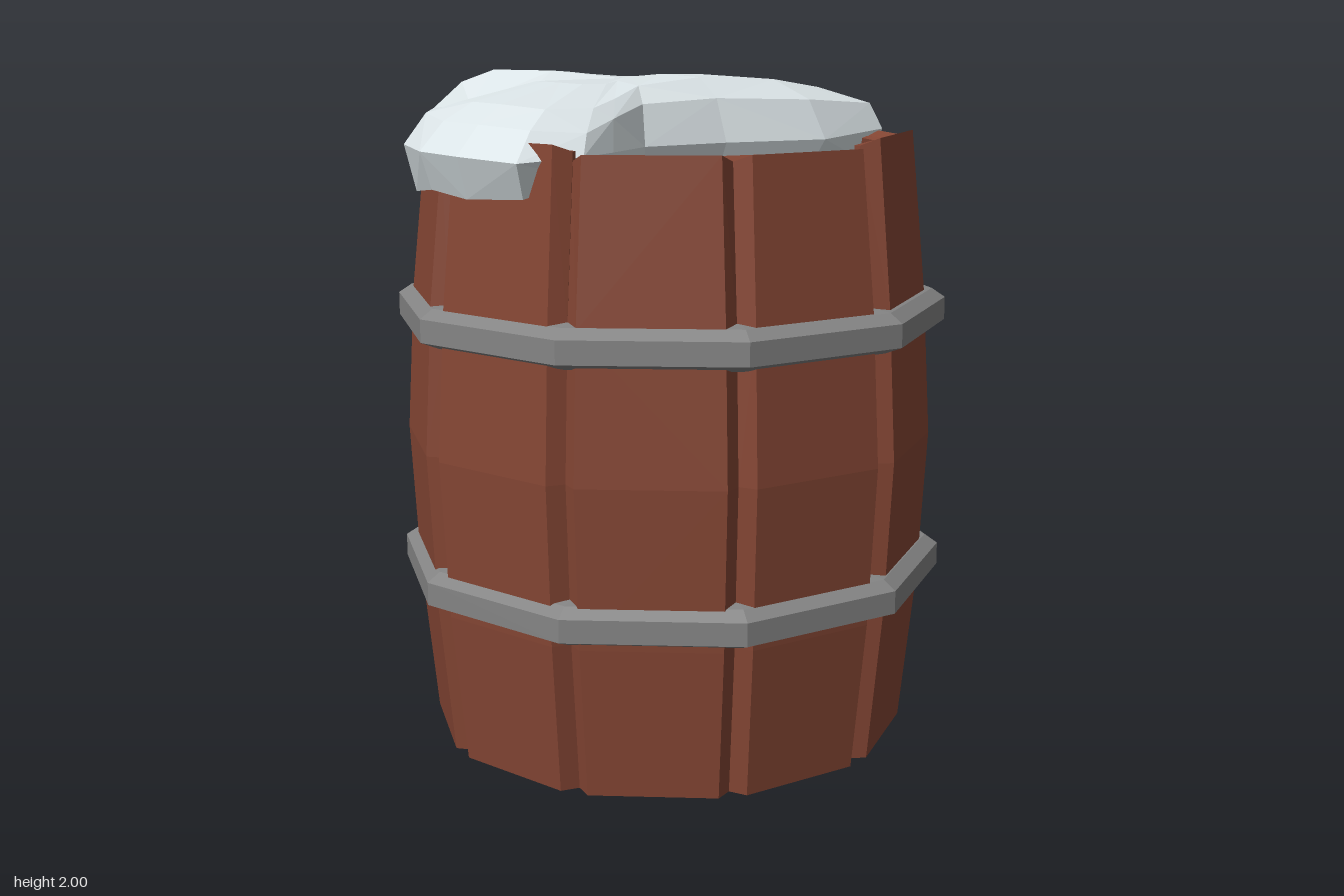
import * as THREE from 'three';

const wood = new THREE.MeshStandardMaterial({ color: 0x854634 });
const iron = new THREE.MeshStandardMaterial({ color: 0x848484 });
const snow = new THREE.MeshStandardMaterial({ color: 0xdde6e9 });
wood.name = 'wood';
iron.name = 'iron';
snow.name = 'snow';

const SIDES = 10;
const STEP = (Math.PI * 2) / SIDES;
const CORNER = THREE.MathUtils.degToRad(27); // angle of the first barrel corner

function flatMesh(geometry, material, name) {
  const g = geometry.index ? geometry.toNonIndexed() : geometry;
  g.computeVertexNormals();
  const mesh = new THREE.Mesh(g, material);
  mesh.name = name;
  return mesh;
}

// Joins rings of [x, y, z] points (bottom to top, counter-clockwise from above) and caps both ends
function loft(rings) {
  const n = rings[0].length;
  const out = [];
  const centre = ring => [0, 1, 2].map(k => ring.reduce((s, p) => s + p[k], 0) / n);
  const bottom = rings[0], top = rings[rings.length - 1];
  const cb = centre(bottom), ct = centre(top);
  for (let i = 0; i < n; i++) {
    const j = (i + 1) % n;
    for (let r = 0; r < rings.length - 1; r++) {
      const lo = rings[r], hi = rings[r + 1];
      if ((i + r) % 2) out.push(lo[i], lo[j], hi[i], lo[j], hi[j], hi[i]);
      else out.push(lo[i], lo[j], hi[j], lo[i], hi[j], hi[i]);
    }
    out.push(cb, bottom[j], bottom[i], ct, top[i], top[j]);
  }
  const g = new THREE.BufferGeometry();
  g.setAttribute('position', new THREE.Float32BufferAttribute(out.flat(), 3));
  return g;
}

// One bowed stave facing +z; its chamfered edges meet the neighbours in a V groove
function stave(top) {
  const levels = [[0, 0.747], [0.45, 0.793], [0.92, 0.818], [1.35, 0.793], [top, 0.745]];
  return loft(levels.map(([y, r]) => {
    const a = r * Math.cos(STEP / 2);
    const half = (depth, gap) => (a - depth) * Math.tan(STEP / 2) - gap;
    const o = half(0, 0.044), c = half(0.05, 0), i = half(0.068, 0);
    const yc = y === top ? y - 0.02 : y; // top corners drop slightly into the groove
    return [[-c, yc, a - 0.05], [-o, y, a], [o, y, a], [c, yc, a - 0.05], [i, yc, a - 0.068], [-i, yc, a - 0.068]];
  }));
}

// Snow outline: x, z, heights of the lower edge, bulge, shoulder and crown, shoulder scale
const SNOW = [
  [-0.25, 0.80, 1.69, 1.79, 1.87, 1.92, 0.88],
  [-0.44, 0.73, 1.68, 1.80, 1.88, 1.93, 0.88],
  [-0.60, 0.58, 1.69, 1.80, 1.88, 1.93, 0.89],
  [-0.74, 0.33, 1.66, 1.80, 1.89, 1.92, 0.90],
  [-0.79, 0.05, 1.64, 1.84, 1.89, 1.90, 0.93],
  [-0.77, -0.22, 1.63, 1.84, 1.96, 2.00, 0.95],
  [-0.69, -0.42, 1.57, 1.74, 1.92, 1.98, 0.90],
  [-0.56, -0.59, 1.46, 1.64, 1.88, 1.95, 0.88],
  [-0.37, -0.79, 1.33, 1.46, 1.82, 1.92, 0.86],
  [-0.10, -0.87, 1.35, 1.46, 1.82, 1.91, 0.87],
  [0.12, -0.85, 1.44, 1.57, 1.80, 1.89, 0.87],
  [0.31, -0.80, 1.50, 1.66, 1.80, 1.88, 0.88],
  [0.52, -0.57, 1.62, 1.76, 1.85, 1.90, 0.91],
  [0.60, -0.36, 1.71, 1.82, 1.90, 1.95, 0.95],
  [0.45, -0.13, 1.74, 1.80, 1.92, 1.98, 0.92],
  [0.18, 0.07, 1.74, 1.80, 1.93, 1.99, 0.91],
  [-0.02, 0.28, 1.74, 1.80, 1.92, 1.97, 0.91],
  [-0.06, 0.50, 1.74, 1.80, 1.89, 1.94, 0.92],
  [-0.10, 0.67, 1.74, 1.80, 1.86, 1.92, 0.92],
].reverse();

function snowCap() {
  const cx = -0.2, cz = -0.15;
  const ring = (scale, height) => SNOW.map(p => {
    const s = scale ?? p[6];
    return [cx + (p[0] - cx) * s, height(p), cz + (p[1] - cz) * s];
  });
  return loft([
    ring(0.78, p => p[2] + 0.04),
    ring(0.95, p => p[2]),
    ring(1, p => p[3]),
    ring(null, p => p[4]),
    ring(0.75, p => p[5]),
    ring(0.4, p => 1.99 + (p[5] - 1.97) * 0.3),
  ]);
}

export function createModel() {
  const model = new THREE.Group();
  model.name = 'snowyBarrel';

  const barrel = new THREE.Group();
  barrel.name = 'barrel';
  barrel.position.z = 0.04;
  model.add(barrel);

  // Staves, with slightly uneven tops
  const tops = [1.84, 1.815, 1.815, 1.84, 1.79, 1.78, 1.78, 1.78, 1.78, 1.815];
  tops.forEach((top, k) => {
    const mesh = flatMesh(stave(top), wood, 'stave' + (k + 1));
    mesh.rotation.y = THREE.MathUtils.degToRad(81 - 36 * k);
    mesh.position.set(-0.005, 0, 0.008);
    barrel.add(mesh);
  });

  // Recessed lid and base
  for (const [name, y] of [['base', 0.11], ['lid', 1.75]]) {
    const disc = flatMesh(new THREE.CylinderGeometry(0.685, 0.685, 0.02, SIDES, 1, false, CORNER), wood, name);
    disc.position.y = y;
    barrel.add(disc);
  }

  // Hoops, with a flat underside and a small bevel on top
  const hoopProfile = [
    [0.73, -0.068], [0.785, -0.06], [0.84, -0.038], [0.84, 0.03], [0.80, 0.057], [0.73, 0.066], [0.73, -0.068],
  ].map(([r, y]) => new THREE.Vector2(r, y));
  for (const [name, y] of [['lowerHoop', 0.522], ['upperHoop', 1.302]]) {
    const hoop = flatMesh(new THREE.LatheGeometry(hoopProfile, SIDES, CORNER), iron, name);
    hoop.position.y = y;
    barrel.add(hoop);
  }

  model.add(flatMesh(snowCap(), snow, 'snowCap'));
  return model;
}
